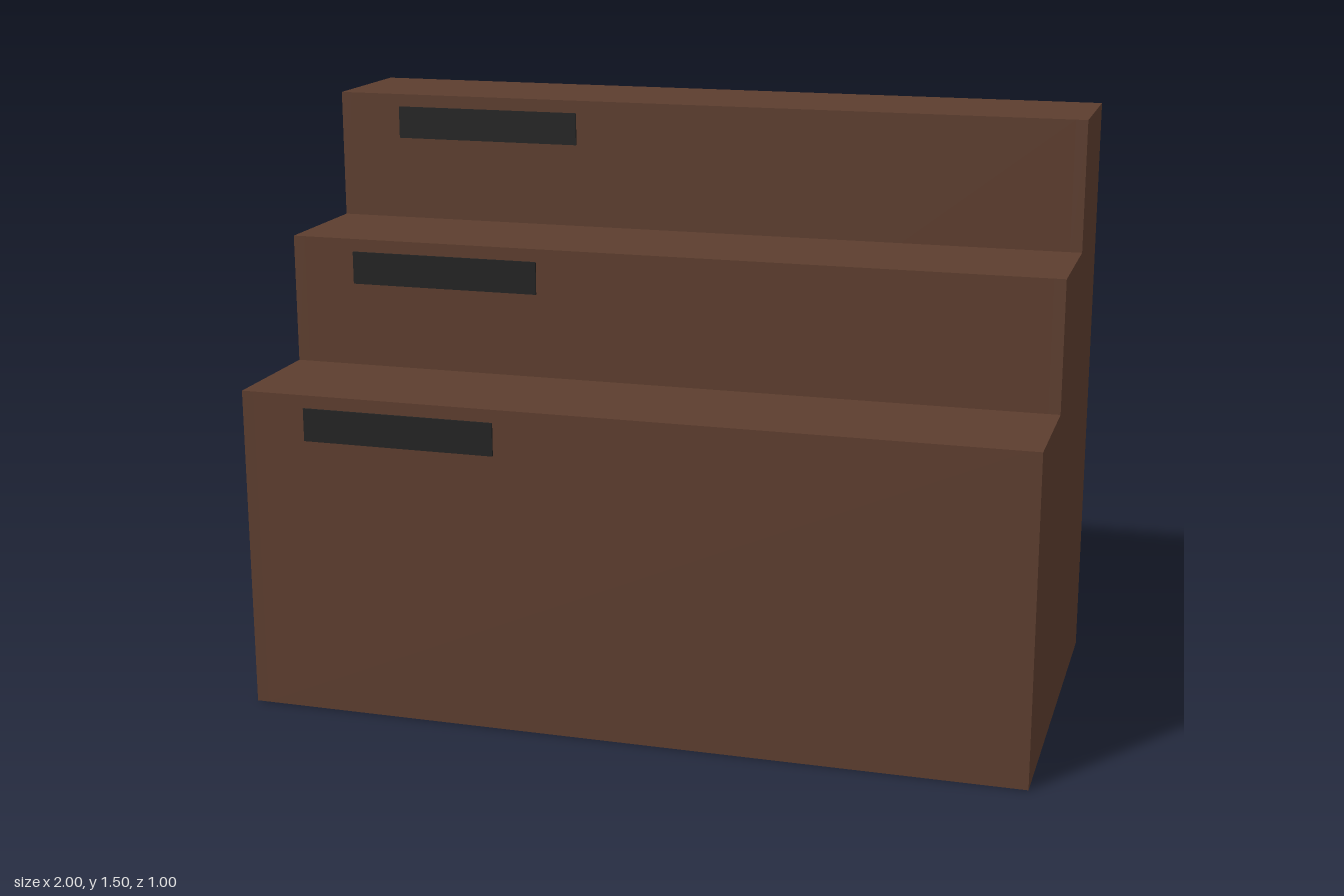
import * as THREE from 'three';

export function createModel() {
  const model = new THREE.Group();
  const wood = new THREE.MeshStandardMaterial({ color: 0x5c3d2e });
  wood.name = 'dark brown wood';
  const black = new THREE.MeshStandardMaterial({ color: 0x222222 });
  black.name = 'charcoal plate';

  const T = 0.03; // board thickness
  const W = 2, D = 1 / 3, BACK = -0.5;
  const steps = [
    { name: 'lower', front: 0.5, top: 2.5 / 3 },
    { name: 'middle', front: 0.5 - D, top: 3.5 / 3 },
    { name: 'upper', front: 0.5 - 2 * D, top: 1.5 },
  ];

  // Box given by its lower and upper corners
  function box(name, material, [x0, y0, z0], [x1, y1, z1]) {
    const mesh = new THREE.Mesh(new THREE.BoxGeometry(x1 - x0, y1 - y0, z1 - z0), material);
    mesh.position.set((x0 + x1) / 2, (y0 + y1) / 2, (z0 + z1) / 2);
    mesh.name = name;
    model.add(mesh);
  }

  // Stepped side panels: the outline runs in (-z, y)
  const outline = [[-0.5, 0]];
  for (const s of steps) outline.push([-s.front, s.top], [-s.front + D, s.top]);
  outline.push([-BACK, 0]);
  const shape = new THREE.Shape(outline.map(([x, y]) => new THREE.Vector2(x, y)));
  const sideGeometry = new THREE.ExtrudeGeometry(shape, { depth: T, bevelEnabled: false });
  sideGeometry.rotateY(Math.PI / 2);
  for (const [name, x] of [['leftSidePanel', W / 2 - T], ['rightSidePanel', -W / 2]]) {
    const side = new THREE.Mesh(sideGeometry, wood);
    side.name = name;
    side.position.x = x;
    model.add(side);
  }

  // Each step: full-height front board, tread, and a thin dark plate
  const inner = W / 2 - T;
  for (const { name, front, top } of steps) {
    box(name + 'FrontBoard', wood, [-inner, 0, front - T], [inner, top, front]);
    box(name + 'Tread', wood, [-inner, top - T, front - D], [inner, top, front - T]);
    box(name + 'Plate', black, [-0.833, top - 0.117, front - 0.001], [-0.333, top - 0.033, front + 0.005]);
  }
  return model;
}
